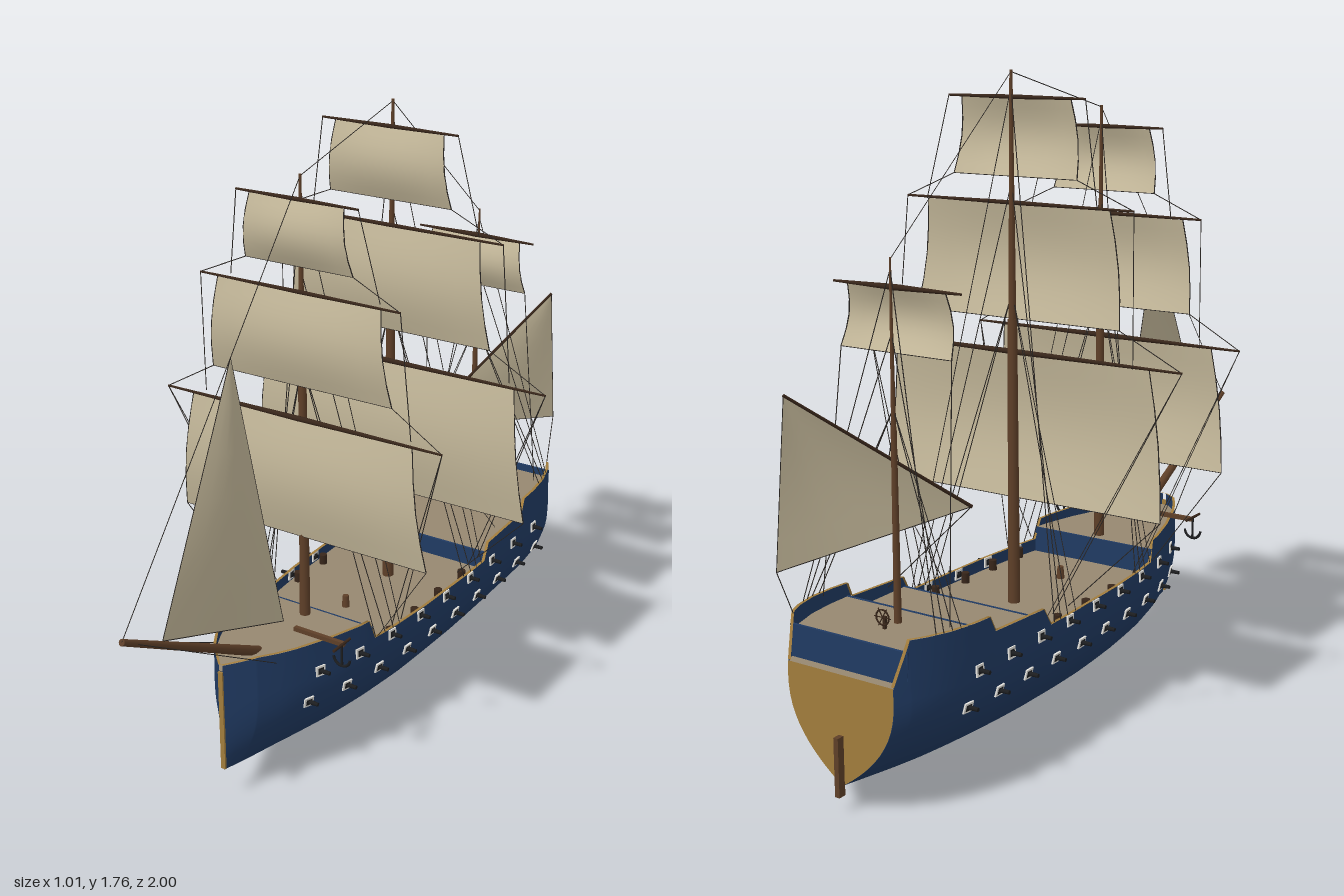
import * as THREE from 'three';

const mat = (name, color, side = THREE.FrontSide) => {
  const m = new THREE.MeshStandardMaterial({ color, side });
  m.name = name;
  return m;
};

// Piecewise-linear lookup in [z, value] stations (z descending)
const lookup = (list, z) => {
  for (let i = 1; i < list.length; i++) {
    const [a, va] = list[i - 1], [b, vb] = list[i];
    if (z >= b) return THREE.MathUtils.lerp(va, vb, THREE.MathUtils.clamp((a - z) / (a - b), 0, 1));
  }
  return list[list.length - 1][1];
};
const BEAM = [[0.617, 0.006], [0.59, 0.035], [0.555, 0.07], [0.5, 0.105], [0.45, 0.13], [0.34, 0.17], [0.24, 0.196],
  [0.1, 0.216], [-0.05, 0.229], [-0.3, 0.237], [-0.72, 0.238], [-0.8, 0.23], [-0.87, 0.21], [-0.92, 0.187], [-0.955, 0.165]];
const SHEER = [[0.617, 0.42], [0.55, 0.432], [0.2, 0.412], [0.178, 0.352], [-0.39, 0.35], [-0.42, 0.4],
  [-0.635, 0.41], [-0.655, 0.452], [-0.915, 0.466], [-0.955, 0.355]];
const beam = z => lookup(BEAM, z);
const sheer = z => lookup(SHEER, z);
const keel = z => (z > -0.15 ? 0.095 * ((z + 0.15) / 0.767) ** 2 : 0.065 * ((z + 0.15) / 0.805) ** 2);
const WALE = 0.32;
const hullX = (z, y) => {
  const k = keel(z), t = THREE.MathUtils.clamp((y - k) / (WALE - k), 0, 1);
  return beam(z) * (1 - (1 - t) ** 2.3) * (1 - 0.25 * Math.max(0, y - WALE));
};

export function createModel() {
  const ship = new THREE.Group();
  ship.name = 'sailingShip';
  const D = THREE.DoubleSide;
  const navy = mat('hull navy', 0x203a62, D), gold = mat('trim gold', 0xa17c3c, D), tan = mat('deck tan', 0x968770, D);
  const canvas = mat('sail canvas', 0xc4b89a, D), wood = mat('mast brown', 0x5e3f28), dark = mat('spar dark brown', 0x38261a);
  const cord = mat('rope', 0x2b2724), white = mat('port white', 0xf2f0ea), iron = mat('iron black', 0x1c1d1f);

  const add = (name, geo, material, x = 0, y = 0, z = 0, parent = ship) => {
    const m = new THREE.Mesh(geo, material);
    m.name = name;
    m.position.set(x, y, z);
    parent.add(m);
    return m;
  };
  const box = (name, w, h, d, material, x, y, z, parent) => add(name, new THREE.BoxGeometry(w, h, d), material, x, y, z, parent);
  // Tapered round bar between two points
  const bar = (name, a, b, r0, r1, material, parent = ship, sides = 8) => {
    const p = new THREE.Vector3(...a), q = new THREE.Vector3(...b), d = q.clone().sub(p);
    const m = add(name, new THREE.CylinderGeometry(r1, r0, d.length(), sides), material, 0, 0, 0, parent);
    m.position.copy(p).add(q).multiplyScalar(0.5);
    m.quaternion.setFromUnitVectors(new THREE.Vector3(0, 1, 0), d.normalize());
    return m;
  };
  const rigging = new THREE.Group();
  rigging.name = 'rigging';
  ship.add(rigging);
  const rope = (a, b, r = 0.0013) => bar('rope', a, b, r, r, cord, rigging, 4);
  // Surface from rows of points
  const loft = (name, rows, material) => {
    const n = rows[0].length, idx = [];
    for (let i = 0; i < rows.length - 1; i++) for (let j = 0; j < n - 1; j++) {
      const a = i * n + j, b = a + n;
      idx.push(a, b, a + 1, b, b + 1, a + 1);
    }
    const g = new THREE.BufferGeometry();
    g.setAttribute('position', new THREE.Float32BufferAttribute(rows.flat(2), 3));
    g.setIndex(idx);
    g.computeVertexNormals();
    return add(name, g, material);
  };

  // Hull shell with bulwarks
  const stations = [...new Set([...BEAM, ...SHEER].map(s => s[0]).concat([0.4, 0.29, 0, -0.15, -0.5, -0.6]))].sort((a, b) => b - a);
  const section = z => {
    const side = [], k = keel(z);
    for (let j = 0; j <= 14; j++) {
      const y = k + (WALE - k) * (j / 14) ** 1.5;
      side.push([hullX(z, y), y, z]);
    }
    for (let j = 1; j <= 2; j++) {
      const y = WALE + (sheer(z) - WALE) * j / 2;
      side.push([hullX(z, y), y, z]);
    }
    return [...side.slice(1).reverse().map(([x, y, w]) => [-x, y, w]), [0, k, z], ...side.slice(1)];
  };
  loft('hull', stations.map(section).reverse(), navy);

  // Gilded transom, stem and cap rails
  const transom = new THREE.Shape(section(-0.955).map(p => new THREE.Vector2(p[0], p[1])));
  add('transom', new THREE.ShapeGeometry(transom), gold, 0, 0, -0.957);
  box('stem', 0.014, 0.3, 0.006, gold, 0, 0.25, 0.618);
  for (const s of [-1, 1]) {
    loft('capRail', stations.map(z => {
      const x = hullX(z, sheer(z)), y = sheer(z) + 0.002;
      return [[s * (x + 0.002), y, z], [s * Math.max(x - 0.007, 0), y, z]];
    }), gold);
  }

  // Decks at four levels, with bulkheads between them
  const deck = (name, z0, z1, y) => {
    const zs = [z0, ...stations.filter(z => z < z0 && z > z1), z1];
    const half = zs.map(z => new THREE.Vector2(Math.max(hullX(z, y) - 0.002, 0.002), -z));
    const mirror = half.map(p => new THREE.Vector2(-p.x, p.y)).reverse();
    const g = new THREE.ShapeGeometry(new THREE.Shape([...half, ...mirror]));
    add(name, g.rotateX(-Math.PI / 2), tan, 0, y, 0);
  };
  deck('foredeck', 0.6, 0.19, 0.39);
  deck('mainDeck', 0.19, -0.41, 0.315);
  deck('quarterdeck', -0.41, -0.65, 0.37);
  deck('poopDeck', -0.65, -0.92, 0.415);
  deck('sternLedge', -0.92, -0.955, 0.352);
  for (const [z, y0, y1] of [[0.188, 0.31, 0.39], [-0.41, 0.31, 0.371], [-0.65, 0.365, 0.416], [-0.92, 0.35, 0.437]])
    box('bulkhead', 2 * hullX(z, y0) - 0.006, y1 - y0, 0.008, navy, 0, (y0 + y1) / 2, z);

  // Rudder, capstan and steering wheel
  box('rudder', 0.014, 0.155, 0.022, wood, 0, 0.12, -0.967);
  add('capstan', new THREE.CylinderGeometry(0.009, 0.012, 0.035, 10), wood, 0, 0.333, 0.015);
  add('wheel', new THREE.TorusGeometry(0.02, 0.0025, 6, 16), dark, 0, 0.447, -0.79);
  for (let i = 0; i < 3; i++) {
    const a = i * Math.PI / 3, c = 0.026 * Math.cos(a), s = 0.026 * Math.sin(a);
    bar('wheelSpoke', [-c, 0.447 - s, -0.79], [c, 0.447 + s, -0.79], 0.0015, 0.0015, dark);
  }
  box('wheelStand', 0.008, 0.035, 0.008, dark, 0, 0.43, -0.782);

  // Two rows of guns on each side
  const gun = (z, y, s) => {
    const e = 0.01, x = hullX(z, y);
    const dz = (hullX(z + e, y) - hullX(z - e, y)) / (2 * e), dy = (hullX(z, y + e) - hullX(z, y - e)) / (2 * e);
    const port = box('gunPort', 0.03, 0.03, 0.008, white, s * x, y, z);
    port.lookAt(s * (x + 1), y - dy, z - dz);
    const hole = box('gunPortOpening', 0.018, 0.018, 0.01, iron, s * x, y, z);
    hole.quaternion.copy(port.quaternion);
    bar('gunBarrel', [s * (x - 0.01), y, z], [s * (x + 0.032), y, z], 0.007, 0.0055, iron);
  };
  for (const s of [-1, 1]) {
    for (let i = 0; i < 9; i++) gun(0.38 - i * 0.1365, 0.335, s);
    for (let i = 0; i < 10; i++) gun(0.412 - i * 0.1287, 0.248, s);
  }

  // Masts and bowsprit
  const masts = [
    { name: 'foreMast', z: 0.225, base: 0.38, top: 1.65, r: 0.015 },
    { name: 'mainMast', z: -0.22, base: 0.31, top: 1.76, r: 0.017 },
    { name: 'mizzenMast', z: -0.73, base: 0.41, top: 1.335, r: 0.01 },
  ];
  for (const m of masts) {
    const mid = m.base + (m.top - m.base) * 0.55;
    bar(m.name, [0, m.base, m.z], [0, mid, m.z], m.r, m.r * 0.75, wood, ship, 12);
    bar(m.name + 'Upper', [0, mid, m.z], [0, m.top, m.z], m.r * 0.65, m.r * 0.25, wood, ship, 10);
  }
  bar('bowsprit', [0, 0.38, 0.45], [0, 0.675, 0.995], 0.015, 0.009, wood, ship, 10);

  // Square sails: mast z, yard y, yard half, sail top half, sail foot half, foot y
  const squares = [
    [0.225, 0.99, 0.44, 0.352, 0.396, 0.637], [0.225, 1.345, 0.312, 0.255, 0.285, 1.08], [0.225, 1.59, 0.187, 0.145, 0.167, 1.41],
    [-0.22, 1.015, 0.505, 0.41, 0.452, 0.612], [-0.22, 1.415, 0.36, 0.29, 0.325, 1.107], [-0.22, 1.69, 0.215, 0.172, 0.195, 1.485],
    [-0.73, 1.26, 0.195, 0.15, 0.17, 1.1],
  ];
  squares.forEach(([mz, y, yardHalf, topHalf, footHalf, footY], n) => {
    const z = mz + 0.02;
    for (const s of [-1, 1]) bar('yard', [0, y, z], [s * yardHalf, y, z], n % 3 ? 0.006 : 0.008, 0.003, dark);
    const at = (u, v) => [u * THREE.MathUtils.lerp(topHalf, footHalf, v), THREE.MathUtils.lerp(y - 0.004, footY, v),
      z + 0.028 * Math.sin(Math.PI * v) * (1 - 0.35 * u * u) - 0.008 * v];
    const rows = [];
    for (let j = 0; j <= 8; j++) rows.push(Array.from({ length: 9 }, (_, i) => at(i / 4 - 1, j / 8)));
    loft('squareSail', rows, canvas);
    // Bolt ropes and sheets
    const below = squares[n - 1];
    for (const s of [-1, 1]) {
      for (let j = 0; j < 4; j++) rope(at(s, j / 4), at(s, (j + 1) / 4), 0.0016);
      const clew = at(s, 1);
      if (below && below[0] === mz) {
        rope(clew, [s * below[2], below[1], z]);
        rope([s * yardHalf, y, z], [s * below[2] * 0.75, below[1], mz - 0.01]);
      } else if (n < 6) {
        rope(clew, [s * 0.21, 0.36, mz - 0.05]);
        rope([s * yardHalf, y, z], [s * 0.21, 0.36, mz - 0.125]);
        rope([s * yardHalf, y, z], [s * 0.215, 0.36, mz - 0.165]);
      } else rope(clew, [s * 0.2, 0.46, mz - 0.05]);
    }
    rope(at(-1, 1), at(1, 1), 0.001);
  });

  // Shrouds and their blocks
  for (const s of [-1, 1]) {
    for (const m of masts) {
      const rail = z => [s * hullX(z, sheer(z)), sheer(z), z];
      [[0.6, 0.05], [0.6, 0.09], [0.8, 0.125], [0.97, 0.155]].forEach(([f, back]) => {
        const k = m.name === 'mizzenMast' ? 0.75 : 1;
        rope([0, m.base + (m.top - m.base) * f, m.z], rail(m.z - back * k));
      });
    }
    for (const z of [0.1, -0.035, -0.17, -0.31])
      add('block', new THREE.CylinderGeometry(0.012, 0.012, 0.03, 10), dark, s * 0.203, 0.332, z);
    rope([0, 0.67, 0.985], [s * 0.1, 0.4, 0.5]);
  }

  // Stays between the mastheads
  rope([0, 0.675, 0.995], [0, 1.645, 0.225]);
  rope([0, 1.645, 0.225], [0, 1.755, -0.22]);
  rope([0, 1.755, -0.22], [0, 1.33, -0.73]);

  // Triangular sails with a slight belly
  const triSail = (name, a, b, c, belly) => {
    const rows = [];
    for (let j = 0; j <= 6; j++) rows.push(Array.from({ length: 7 }, (_, i) => {
      const v = j / 6, u = i / 6;
      return a.map((p, k) => p + v * (b[k] + u * (c[k] - b[k]) - p) + (k === 0 ? belly * Math.sin(Math.PI * v) * Math.sin(Math.PI * u) : 0));
    }));
    loft(name, rows, canvas);
    rope(a, b);
    rope(b, c);
    rope(c, a);
  };
  triSail('jib', [0, 1.255, 0.535], [0, 0.605, 0.845], [0.025, 0.44, 0.365], 0.02);
  const peak = [0.14, 1.025, -0.965], tack = [-0.075, 0.675, -0.515], clew = [0.152, 0.595, -0.998];
  triSail('lateenSail', peak, tack, clew, 0.01);
  bar('lateenYard', tack, peak, 0.005, 0.004, dark);
  rope(tack, [0.205, 0.405, -0.515]);
  rope(clew, [0.175, 0.463, -0.92]);

  // Catheads and anchors
  for (const s of [-1, 1]) {
    box('cathead', 0.16, 0.012, 0.012, wood, s * 0.15, 0.437, 0.375);
    const anchor = new THREE.Group();
    anchor.name = 'anchor';
    anchor.position.set(s * 0.228, 0.4, 0.385);
    ship.add(anchor);
    bar('anchorShank', [0, -0.025, 0], [0, 0.04, 0], 0.004, 0.003, iron, anchor);
    bar('anchorStock', [0, 0.04, -0.04], [0, 0.04, 0.04], 0.004, 0.004, dark, anchor);
    add('anchorArms', new THREE.TorusGeometry(0.026, 0.004, 6, 12, Math.PI), iron, 0, 0.002, 0, anchor).rotation.z = Math.PI;
  }
  return ship;
}
